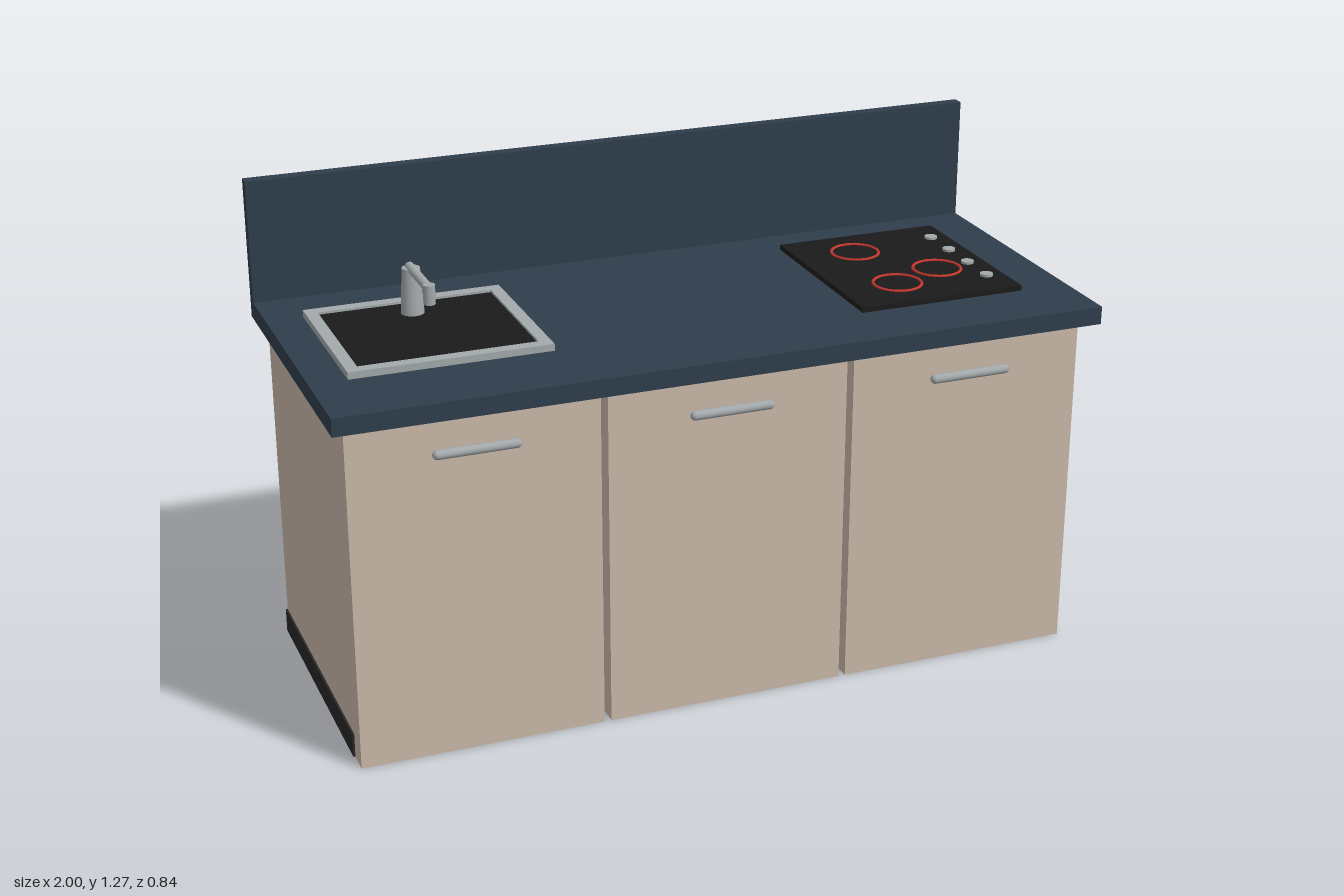
import * as THREE from 'three';

const paint = (color) => new THREE.MeshStandardMaterial({ color });

export function createModel() {
  const model = new THREE.Group();
  const wood = paint(0xcbb9aa), slate = paint(0x2f3e4d), black = paint(0x1b1b1b);
  const dark = paint(0x282828), steel = paint(0xa3a9ab), red = paint(0xc8372d);

  const add = (name, geometry, material, x = 0, y = 0, z = 0, parent = model) => {
    const mesh = new THREE.Mesh(geometry, material);
    mesh.name = name;
    mesh.position.set(x, y, z);
    parent.add(mesh);
    return mesh;
  };
  // Box given by its limits on each axis
  const box = (name, material, [x0, x1], [y0, y1], [z0, z1], parent) =>
    add(name, new THREE.BoxGeometry(x1 - x0, y1 - y0, z1 - z0), material,
      (x0 + x1) / 2, (y0 + y1) / 2, (z0 + z1) / 2, parent);

  // Three cabinets, each with a bar handle
  for (const x of [-0.648, 0, 0.648]) {
    box('cabinet', wood, [x - 0.315, x + 0.315], [0, 0.906], [-0.4, 0.37]);
    const handle = add('handle', new THREE.CapsuleGeometry(0.012, 0.196, 6, 20), steel, x, 0.81, 0.39);
    handle.rotation.z = Math.PI / 2;
  }
  box('plinth', dark, [-0.968, 0.968], [0.001, 0.065], [-0.401, 0.31]);

  // Worktop and splashback
  box('worktop', slate, [-1, 1], [0.906, 0.953], [-0.42, 0.42]);
  box('splashback', slate, [-1, 1], [0.953, 1.275], [-0.42, -0.388]);

  // Sink: raised steel rim around a dark basin
  const sink = new THREE.Group();
  sink.name = 'sink';
  sink.position.set(-0.648, 0.953, -0.02);
  model.add(sink);
  const rectangle = (path, w, d) => path.moveTo(-w, -d).lineTo(w, -d).lineTo(w, d).lineTo(-w, d).closePath();
  const rimShape = rectangle(new THREE.Shape(), 0.257, 0.225);
  rimShape.holes.push(rectangle(new THREE.Path(), 0.226, 0.194));
  const rim = add('sinkRim', new THREE.ExtrudeGeometry(rimShape, { depth: 0.018, bevelEnabled: false }),
    steel, 0, 0, 0, sink);
  rim.rotation.x = -Math.PI / 2;
  box('sinkBasin', black, [-0.226, 0.226], [0, 0.012], [-0.194, 0.194], sink);

  // Tap: tapered body, horizontal spout and downward nozzle
  const tap = new THREE.Group();
  tap.name = 'tap';
  tap.position.set(-0.648, 0, 0);
  model.add(tap);
  add('tapBody', new THREE.CylinderGeometry(0.023, 0.03, 0.121, 28), steel, 0, 1.0235, -0.145, tap);
  const spout = add('tapSpout', new THREE.CylinderGeometry(0.012, 0.012, 0.176, 20), steel, 0, 1.083, -0.07, tap);
  spout.rotation.x = Math.PI / 2;
  add('tapNozzle', new THREE.CylinderGeometry(0.015, 0.015, 0.05, 20), steel, 0, 1.069, 0.018, tap);

  // Hob: glass plate, heating rings and knobs
  const hob = new THREE.Group();
  hob.name = 'hob';
  model.add(hob);
  box('hobPlate', black, [0.415, 0.867], [0.953, 0.967], [-0.28, 0.24], hob);
  for (const [x, z] of [[0.576, -0.15], [0.576, 0.108], [0.722, 0.044]]) {
    const ring = add('heatingRing', new THREE.TorusGeometry(0.063, 0.004, 8, 48), red, x, 0.968, z, hob);
    ring.rotation.x = Math.PI / 2;
  }
  for (const z of [-0.182, -0.075, 0.032, 0.139]) {
    add('knob', new THREE.CylinderGeometry(0.017, 0.017, 0.007, 24), steel, 0.818, 0.97, z, hob);
  }
  return model;
}
